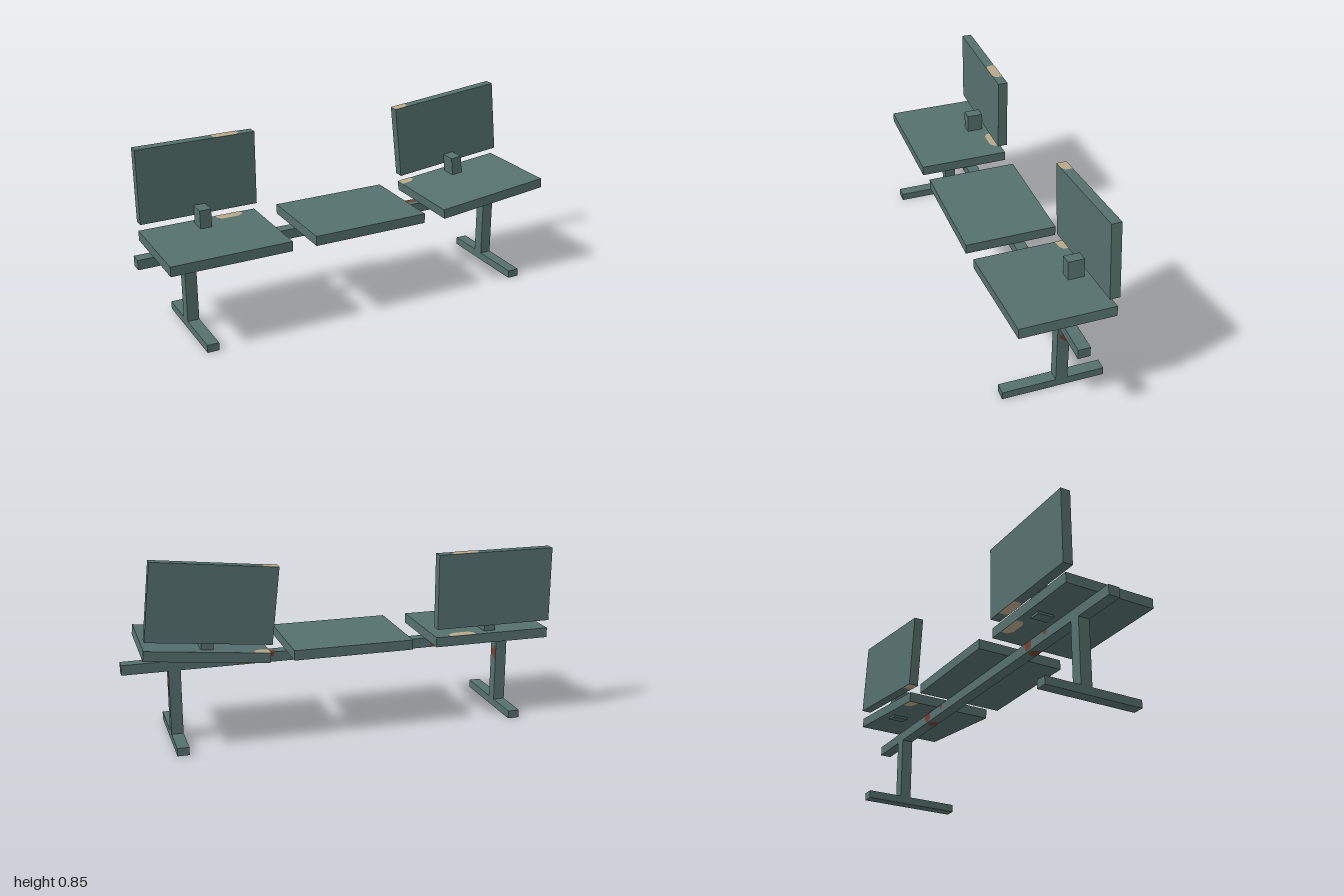
import * as THREE from 'three';

const frameMat = new THREE.MeshStandardMaterial({ color: 0x55706e });
frameMat.name = 'greyTealPaint';
const wornMat = new THREE.MeshStandardMaterial({ color: 0xb8a88a });
wornMat.name = 'wornBeige';
const rustMat = new THREE.MeshStandardMaterial({ color: 0x74402f });
rustMat.name = 'rust';

const LIFT = 0.0012; // patches sit just above the surface they mark

// Box given by its min and max on each axis
function box(parent, name, [x0, x1], [y0, y1], [z0, z1]) {
  const mesh = new THREE.Mesh(new THREE.BoxGeometry(x1 - x0, y1 - y0, z1 - z0), frameMat);
  mesh.position.set((x0 + x1) / 2, (y0 + y1) / 2, (z0 + z1) / 2);
  mesh.name = name;
  parent.add(mesh);
}

// Flat patch: outline in the plane's own u, v, turned to face one direction
const facing = {
  front: [0, 0, 0],
  back: [0, Math.PI, 0],                // u = -x
  top: [-Math.PI / 2, 0, 0],            // v = -z
  bottom: [Math.PI / 2, 0, 0],          // v = z
  left: [0, Math.PI / 2, 0],            // u = -z
};
function patch(parent, name, mat, dir, outline, [x, y, z]) {
  const shape = new THREE.Shape(outline.map(([u, v]) => new THREE.Vector2(u, v)));
  const mesh = new THREE.Mesh(new THREE.ShapeGeometry(shape), mat);
  mesh.rotation.set(...facing[dir]);
  mesh.position.set(x, y, z);
  mesh.name = name;
  parent.add(mesh);
}

const HALF = 0.2725, THICK = 0.0225;
const BACK_Z = [-0.218, -0.173], SEAT_Z = [-0.208, 0.209];

// Seat with a backrest on a short bracket, around the seat's centre
function backedSeat(name, x, y, tilt, wear) {
  const g = new THREE.Group();
  g.name = name;
  g.position.set(x, y, 0);
  g.rotation.z = tilt;
  box(g, 'seat', [-HALF, HALF], [-THICK, THICK], SEAT_Z);
  box(g, 'bracket', [-0.0265, 0.0265], [-0.0325, 0.1075], [-0.173, -0.1]);
  box(g, 'backrest', [-HALF, HALF], [0.0625, 0.4025], BACK_Z);

  // Worn paint on the rear strip of the horizontal faces
  const [a, b, roundLeft] = wear;
  const strip = (zBack, zFront, zSide, sign) => {
    const pts = [[b, zBack], [a, zBack], [a, roundLeft ? zSide : zFront],
      [a + 0.02, zFront], [b - 0.025, zFront], [b, zSide]];
    return pts.map(([u, z]) => [u, sign * z]);
  };
  const onBack = s => strip(BACK_Z[0], BACK_Z[1], -0.185, s);
  const onSeat = s => strip(SEAT_Z[0], -0.163, -0.178, s);
  patch(g, 'backrestTopWear', wornMat, 'top', onBack(-1), [0, 0.4025 + LIFT, 0]);
  patch(g, 'backrestBottomWear', wornMat, 'bottom', onBack(1), [0, 0.0625 - LIFT, 0]);
  patch(g, 'seatTopWear', wornMat, 'top', onSeat(-1), [0, THICK + LIFT, 0]);
  patch(g, 'seatBottomWear', wornMat, 'bottom', onSeat(1), [0, -THICK - LIFT, 0]);
  return g;
}

export function createModel() {
  const model = new THREE.Group();
  model.name = 'bench';

  // Frame: long beam on two T-shaped legs
  const beamY = [0.33, 0.375], beamZ = [-0.062, -0.009];
  box(model, 'beam', [-1, 1], beamY, beamZ);
  for (const s of [-1, 1]) {
    const leg = new THREE.Group();
    leg.name = s > 0 ? 'leftLeg' : 'rightLeg';
    leg.position.x = s * 0.772;
    box(leg, 'post', [-0.0265, 0.0265], [0.036, 0.33], beamZ);
    box(leg, 'foot', [-0.0265, 0.0265], [0, 0.036], [-0.227, 0.229]);
    patch(leg, 'postRust', rustMat, 'left',
      [[0.02, 0.262], [0.061, 0.23], [0.061, 0.31], [0.02, 0.28]], [0.0265 + LIFT, 0, 0]);
    model.add(leg);
  }

  // Rust wrapped round the beam
  const blot = [[-0.028, 0.021], [-0.022, -0.004], [-0.014, -0.018], [0.012, -0.018],
    [0.026, -0.006], [0.026, 0.018], [0.012, 0.021]];
  for (const x of [-0.432, 0.476]) {
    patch(model, 'beamFrontRust', rustMat, 'front', blot, [x, 0.3525, beamZ[1] + LIFT]);
    patch(model, 'beamBackRust', rustMat, 'back', blot, [x, 0.3525, beamZ[0] - LIFT]);
    patch(model, 'beamBottomRust', rustMat, 'bottom', blot, [x, beamY[0] - LIFT, -0.0355]);
  }
  const wedge = [[0.03, 0.062], [-0.028, 0.062], [-0.022, 0.045], [0, 0.03], [0.03, 0.03]];
  patch(model, 'beamTopRust', rustMat, 'top', wedge, [0.342, beamY[1] + LIFT, 0]);
  for (const x of [0.342, -0.56]) {
    patch(model, 'beamEdgeRust', rustMat, 'back',
      [[-0.014, 0.021], [-0.008, 0.002], [0.01, 0.002], [0.014, 0.021]],
      [x, 0.3525, beamZ[0] - LIFT]);
  }

  // Three seats: level with back, plain table, and one knocked askew
  model.add(backedSeat('rightSeat', -0.6575, 0.3975, 0, [0.083, 0.203, true]));
  box(model, 'middleSeat', [-HALF, HALF], [0.375, 0.42], SEAT_Z);
  model.add(backedSeat('tiltedLeftSeat', 0.648, 0.425, THREE.MathUtils.degToRad(6),
    [-HALF, -0.203, false]));
  return model;
}
